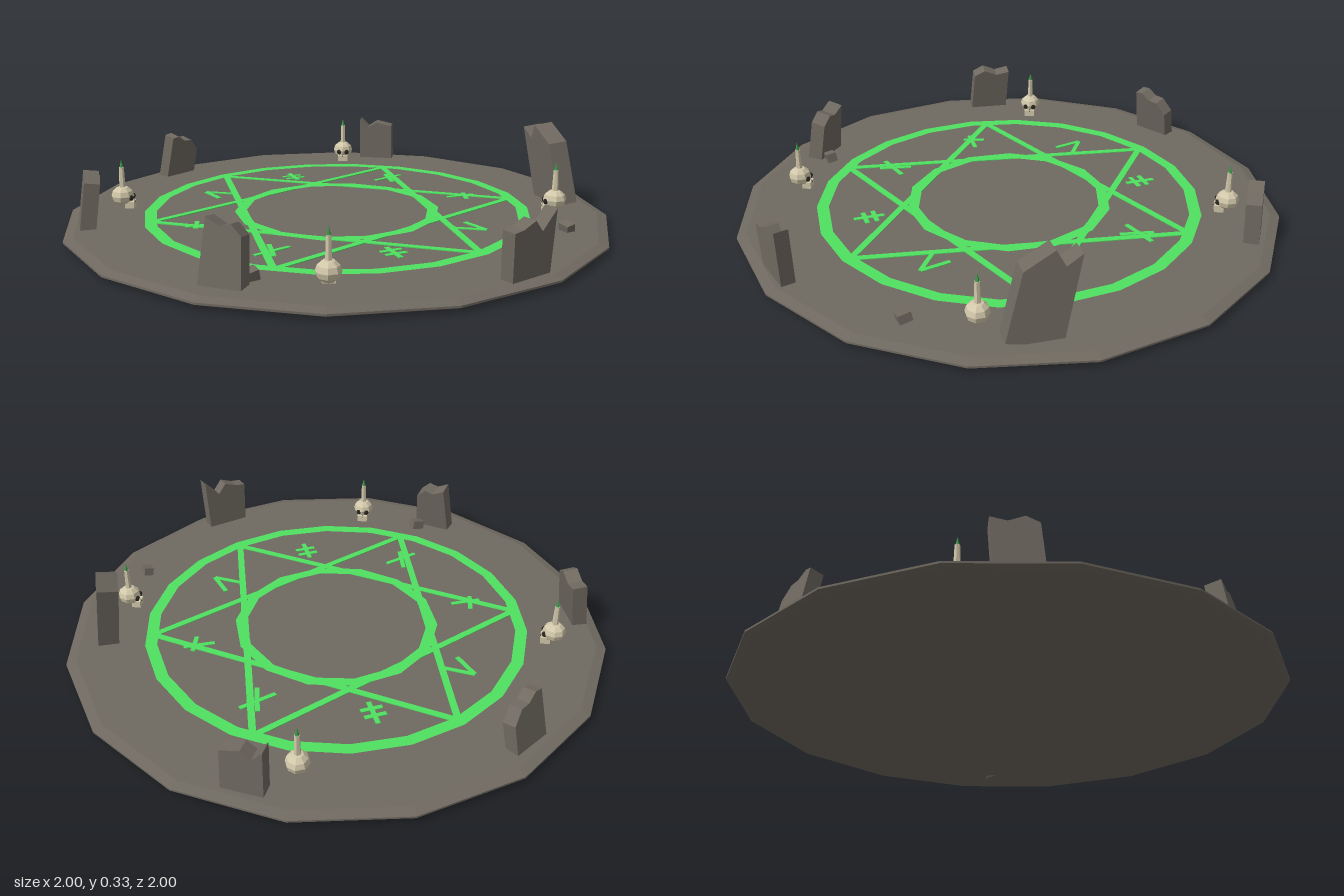
import * as THREE from 'three';

const mat = (color) => new THREE.MeshStandardMaterial({ color, flatShading: true });
const FLOOR = 0.025;

export function createModel() {
  const model = new THREE.Group();
  const stone = mat(0x6f6960), glow = mat(0x4fe060), bone = mat(0xd2c8aa);
  const dark = mat(0x28251f), flameMat = mat(0x3c9a48);

  const add = (parent, name, geo, material, x = 0, y = 0, z = 0) => {
    const m = new THREE.Mesh(geo, material);
    m.name = name;
    m.position.set(x, y, z);
    parent.add(m);
    return m;
  };

  // Sixteen-sided platform with a bevelled rim
  const profile = [[0, 0], [0.98, 0], [1, 0.009], [1, 0.016], [0.965, FLOOR], [0, FLOOR]];
  add(model, 'platform', new THREE.LatheGeometry(profile.map(p => new THREE.Vector2(...p)), 16), stone);

  // Glowing floor markings
  const markings = new THREE.Group();
  markings.name = 'floorMarkings';
  model.add(markings);

  const ring = (name, inner, outer, sides) => {
    const g = new THREE.RingGeometry(inner, outer, sides, 1, Math.PI / 2);
    g.rotateX(-Math.PI / 2);
    add(markings, name, g, glow, 0, FLOOR + 0.004, 0);
  };
  ring('outerRing', 0.672, 0.716, 22);
  ring('innerRing', 0.342, 0.382, 14);

  const stroke = (name, x1, z1, x2, z2, width) => {
    const len = Math.hypot(x2 - x1, z2 - z1);
    const m = add(markings, name, new THREE.BoxGeometry(len, 0.004, width), glow,
      (x1 + x2) / 2, FLOOR + 0.001, (z1 + z2) / 2);
    m.rotation.y = -Math.atan2(z2 - z1, x2 - x1);
  };

  // Two crossed triangles
  for (let t = 0; t < 2; t++) {
    for (let i = 0; i < 3; i++) {
      const a = t * Math.PI + i * Math.PI * 2 / 3, b = a + Math.PI * 2 / 3, r = 0.685;
      stroke('starLine', r * Math.sin(a), r * Math.cos(a), r * Math.sin(b), r * Math.cos(b), 0.025);
    }
  }

  // Simple strokes between the rings, repeated by a half turn
  const signs = [
    [-0.225, -0.43, -0.21, -0.54], [-0.21, -0.54, -0.14, -0.44],
    [0.225, -0.54, 0.185, -0.435], [0.17, -0.515, 0.245, -0.49], [0.16, -0.48, 0.235, -0.455],
    [0.415, -0.21, 0.555, -0.2], [0.515, -0.25, 0.45, -0.145],
    [0.435, 0.165, 0.54, 0.21], [0.525, 0.17, 0.47, 0.235],
  ];
  for (const s of signs) {
    stroke('signStroke', ...s, 0.017);
    stroke('signStroke', ...s.map(v => -v), 0.017);
  }

  // Broken standing slabs: top edge given as [fraction of half width, height]
  const slab = (x, z, turn, width, depth, lean, roll, top) => {
    const w = width / 2;
    const shape = new THREE.Shape([
      new THREE.Vector2(-w, -0.01), new THREE.Vector2(w, -0.01),
      ...top.map(([u, h]) => new THREE.Vector2(u * w, h)),
    ]);
    const g = new THREE.ExtrudeGeometry(shape, { depth, bevelEnabled: false });
    g.translate(0, 0, -depth / 2);
    const m = add(model, 'standingStone', g, stone, x, FLOOR, z);
    m.rotation.order = 'YXZ';
    m.rotation.set(lean, turn, roll);
  };
  slab(-0.07, 0.915, -0.1, 0.165, 0.05, 0.04, 0,
    [[1.12, 0.208], [0.4, 0.145], [0, 0.185], [-0.6, 0.165], [-1.08, 0.16]]);
  slab(-0.11, -0.89, Math.PI + 0.13, 0.15, 0.05, -0.2, 0.06,
    [[1, 0.172], [0.6, 0.178], [0.1, 0.155], [-0.4, 0.155], [-0.95, 0.11]]);
  slab(0.715, 0.475, 1.16, 0.185, 0.075, -0.1, -0.2,
    [[1.05, 0.295], [0.55, 0.25], [0.1, 0.3], [-0.85, 0.225]]);
  slab(0.735, -0.52, 2.2, 0.145, 0.055, -0.04, 0,
    [[1, 0.175], [0.5, 0.14], [0, 0.165], [-0.95, 0.15]]);
  slab(-0.77, -0.485, -2.06, 0.155, 0.055, -0.14, 0.05,
    [[0.95, 0.16], [0.4, 0.185], [-0.3, 0.165], [-1, 0.18]]);
  slab(-0.79, 0.345, -1.09, 0.145, 0.06, -0.16, 0,
    [[0.9, 0.155], [0.4, 0.19], [-0.1, 0.18], [-0.75, 0.205]]);

  // Loose rubble
  const rubble = (x, z, sx, sy, sz, turn) => {
    const m = add(model, 'rubble', new THREE.BoxGeometry(sx, sy, sz), stone, x, FLOOR + sy * 0.45, z);
    m.rotation.set(0.15, turn, 0.25);
  };
  rubble(0.41, 0.735, 0.036, 0.03, 0.045, -0.2);
  rubble(-0.705, 0.365, 0.05, 0.035, 0.038, -0.2);

  // Four skulls, each facing the middle and carrying a candle
  for (const sx of [-1, 1]) {
    for (const sz of [-1, 1]) {
      const skull = new THREE.Group();
      skull.name = 'skullCandle';
      skull.position.set(sx * 0.57, FLOOR, sz * 0.57);
      skull.rotation.y = Math.atan2(-sx, -sz);
      model.add(skull);
      add(skull, 'cranium', new THREE.SphereGeometry(0.041, 8, 6), bone, 0, 0.05, 0).scale.set(1, 0.9, 1.05);
      add(skull, 'jaw', new THREE.BoxGeometry(0.042, 0.026, 0.034), bone, 0, 0.018, 0.028);
      for (const side of [-1, 1]) {
        add(skull, 'eyeSocket', new THREE.SphereGeometry(0.011, 6, 4), dark, side * 0.016, 0.045, 0.034);
      }
      add(skull, 'nose', new THREE.ConeGeometry(0.006, 0.012, 3), dark, 0, 0.03, 0.042);
      add(skull, 'candle', new THREE.CylinderGeometry(0.009, 0.012, 0.08, 6), bone, 0, 0.12, 0);
      add(skull, 'flame', new THREE.ConeGeometry(0.008, 0.032, 5), flameMat, 0, 0.174, 0);
    }
  }
  return model;
}
